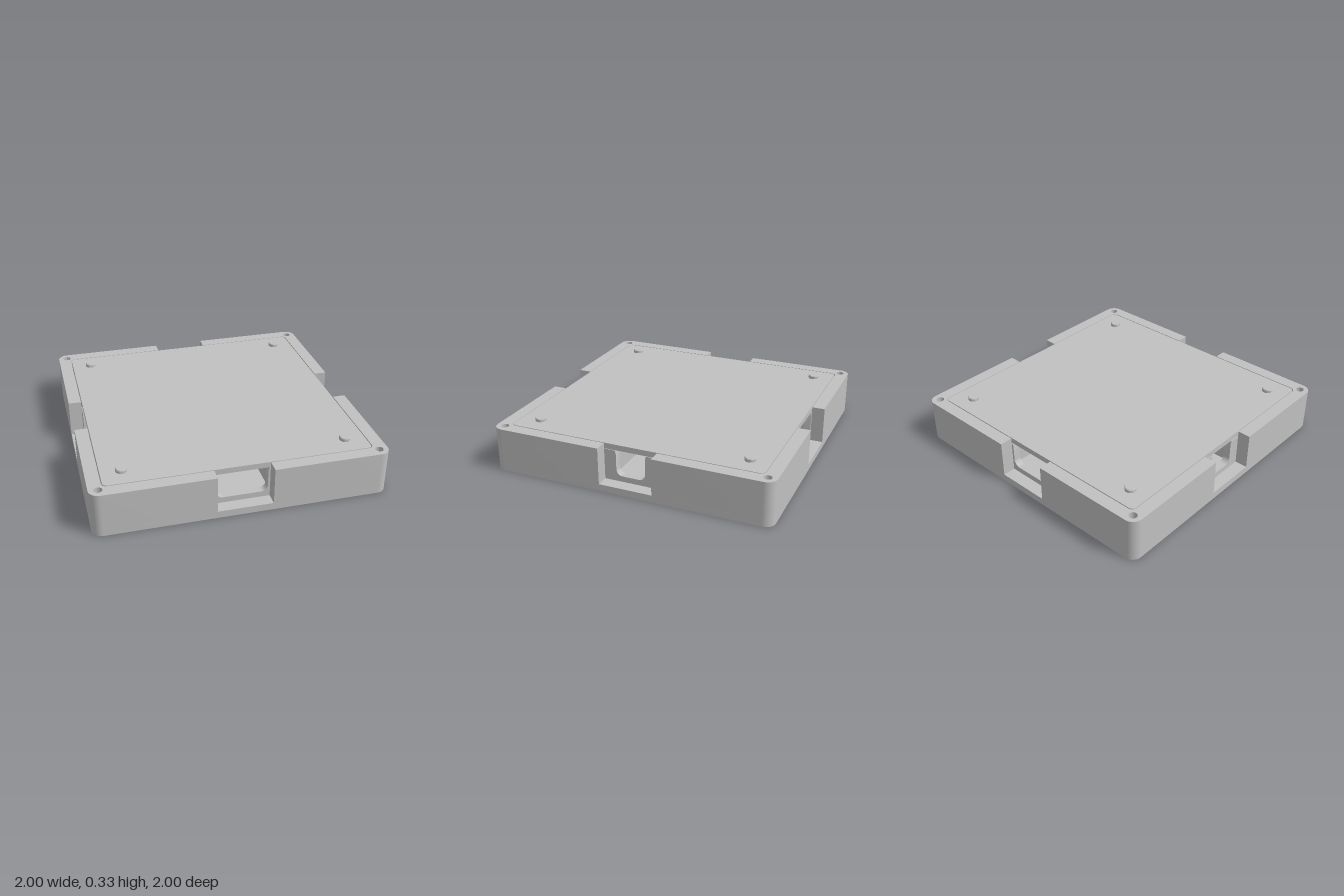
import * as THREE from 'three';
import { toCreasedNormals } from 'three/addons/utils/BufferGeometryUtils.js';

const SIZE = 1, INNER = 0.91, NOTCH = 0.19;
const FLOOR = 0.05, LID = 0.27, TOP = 0.31;

// Rounded square outline centred on the origin
function roundedSquare(h, r) {
  const s = new THREE.Shape();
  s.absarc(h - r, h - r, r, 0, Math.PI / 2);
  s.absarc(-h + r, h - r, r, Math.PI / 2, Math.PI);
  s.absarc(-h + r, -h + r, r, Math.PI, Math.PI * 1.5);
  s.absarc(h - r, -h + r, r, Math.PI * 1.5, Math.PI * 2);
  s.closePath();
  return s;
}

function addHole(shape, x, y, r) {
  const p = new THREE.Path();
  p.absarc(x, y, r, 0, Math.PI * 2, true);
  shape.holes.push(p);
}

// Stand a plan outline up between two heights
function slab(shape, y0, y1) {
  const g = new THREE.ExtrudeGeometry(shape, { depth: y1 - y0, bevelEnabled: false, curveSegments: 12 });
  g.rotateX(-Math.PI / 2).translate(0, y0, 0);
  return toCreasedNormals(g, 0.6);
}

export function createModel() {
  const model = new THREE.Group();
  model.name = 'connectorTile';
  const grey = new THREE.MeshStandardMaterial({ color: 0xc0c0c0 });
  grey.name = 'light grey';

  const add = (name, geometry, x = 0, y = 0, z = 0, parent = model) => {
    const m = new THREE.Mesh(geometry, grey);
    m.name = name;
    m.position.set(x, y, z);
    parent.add(m);
    return m;
  };

  // Base plate with blind holes underneath
  const spots = [];
  for (const a of [-1, 1]) for (const b of [-1, 1]) {
    spots.push([a * 0.94, b * 0.94], [a * 0.1, b * 0.1], [a * 0.1, b * 0.9], [a * 0.9, b * 0.1]);
  }
  const base = roundedSquare(SIZE, 0.07);
  spots.forEach(([x, z]) => addHole(base, x, z, 0.026));
  add('basePlate', slab(base, 0, FLOOR));
  const plug = new THREE.CylinderGeometry(0.027, 0.027, 0.01, 20);
  spots.forEach(([x, z]) => add('baseHoleEnd', plug, x, FLOOR - 0.006, z));

  // Four corner walls, leaving a notch in the middle of each side
  const wall = new THREE.Shape();
  wall.moveTo(NOTCH, SIZE);
  wall.lineTo(NOTCH, INNER);
  wall.lineTo(INNER - 0.035, INNER);
  wall.absarc(INNER - 0.035, INNER - 0.035, 0.035, Math.PI / 2, 0, true);
  wall.lineTo(INNER, NOTCH);
  wall.lineTo(SIZE, NOTCH);
  wall.lineTo(SIZE, SIZE - 0.07);
  wall.absarc(SIZE - 0.07, SIZE - 0.07, 0.07, 0, Math.PI / 2);
  wall.closePath();
  addHole(wall, 0.937, 0.937, 0.028);
  const wallGeo = slab(wall, FLOOR, TOP);
  const wallPlug = new THREE.CylinderGeometry(0.029, 0.029, 0.02, 20);
  for (let i = 0; i < 4; i++) {
    const corner = new THREE.Group();
    corner.name = 'cornerWall';
    corner.rotation.y = i * Math.PI / 2;
    add('wall', wallGeo, 0, 0, 0, corner);
    add('wallHoleEnd', wallPlug, 0.937, 0.24, -0.937, corner);
    model.add(corner);
  }

  // Inner floor and the four blocks between the crossing channels
  add('channelFloor', new THREE.BoxGeometry(1.8, 0.04, 1.8), 0, 0.07, 0);
  const block = new THREE.BoxGeometry(0.71, LID - 0.09, 0.78);
  for (const sx of [-1, 1]) for (const sz of [-1, 1]) {
    add('innerBlock', block, sx * 0.545, 0.18, sz * 0.51);
  }

  // Central post in the crossing
  const post = add('centrePost', new THREE.CylinderGeometry(1, 1, LID - 0.09, 40), 0.01, 0.18, 0.015);
  post.scale.set(0.18, 1, 0.055);

  // Port frames at the back of the notches, with round-bottomed openings
  const portFrame = (half) => {
    const r = 0.045, low = 0.09;
    const s = new THREE.Shape();
    s.moveTo(-NOTCH, FLOOR);
    s.lineTo(NOTCH, FLOOR);
    s.lineTo(NOTCH, LID);
    s.lineTo(half + 0.008, LID);
    s.lineTo(half, LID - 0.02);
    s.lineTo(half, low + r);
    s.absarc(half - r, low + r, r, 0, -Math.PI / 2, true);
    s.lineTo(-half + r, low);
    s.absarc(-half + r, low + r, r, -Math.PI / 2, -Math.PI, true);
    s.lineTo(-half, LID - 0.02);
    s.lineTo(-half - 0.008, LID);
    s.lineTo(-NOTCH, LID);
    s.closePath();
    const g = new THREE.ExtrudeGeometry(s, { depth: 0.05, bevelEnabled: false, curveSegments: 8 });
    g.translate(0, 0, INNER - 0.05);
    return toCreasedNormals(g, 0.6);
  };
  const frames = [portFrame(0.175), portFrame(0.105)];
  for (let i = 0; i < 4; i++) {
    add('portFrame', frames[i % 2], 0, 0, 0).rotation.y = i * Math.PI / 2;
  }

  // Lid, set inside the walls with a fine gap around it
  add('lid', slab(roundedSquare(INNER - 0.006, 0.03), LID, TOP));

  // Locating pegs with a small chamfer
  const profile = [[0, 0], [0.038, 0], [0.038, 0.018], [0.034, 0.024], [0, 0.024]]
    .map(([x, y]) => new THREE.Vector2(x, y));
  const peg = toCreasedNormals(new THREE.LatheGeometry(profile, 28), 0.5);
  for (const x of [-0.765, 0.762]) for (const z of [-0.767, 0.762]) {
    add('peg', peg, x, TOP, z);
  }

  return model;
}
